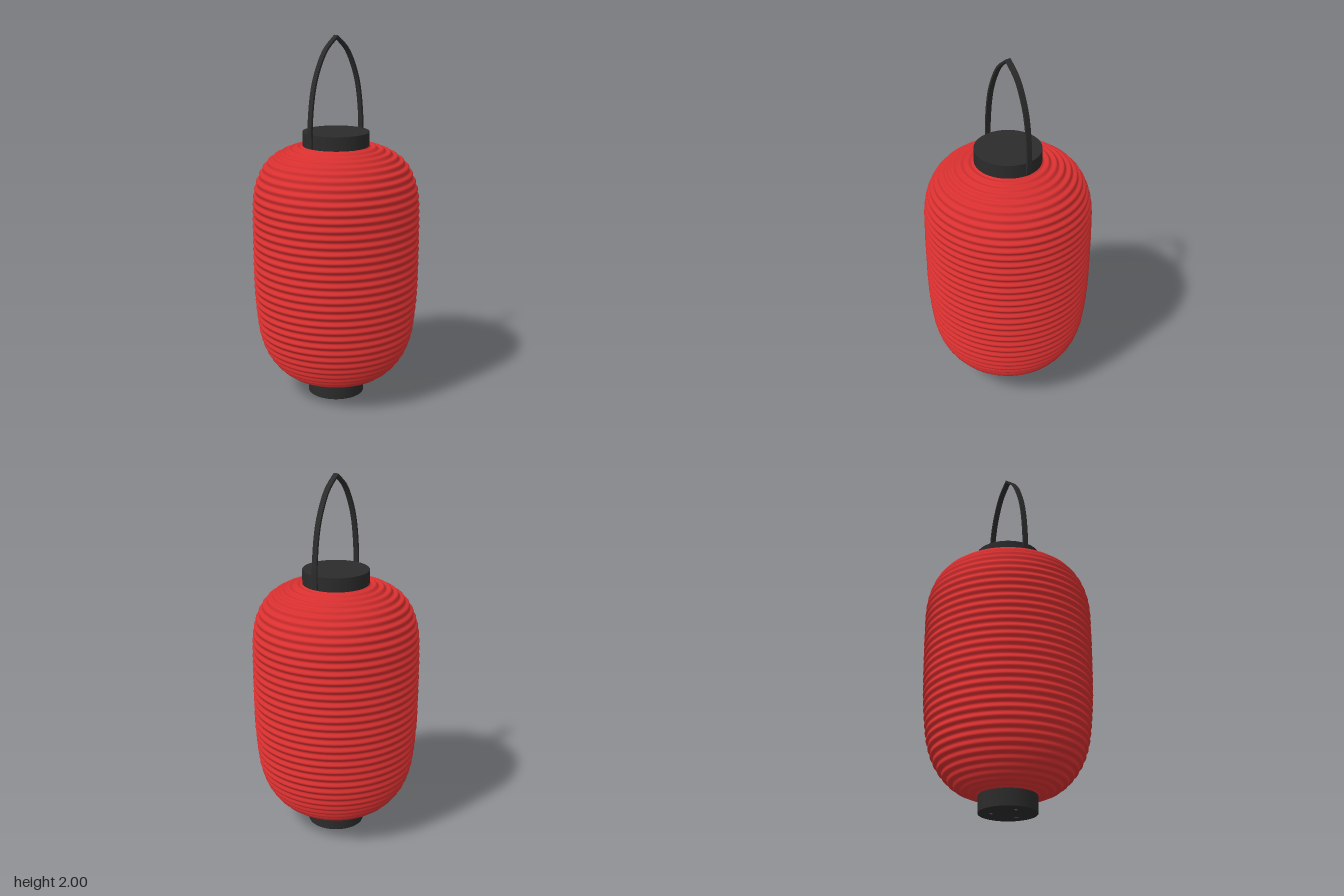
import * as THREE from 'three';

const red = new THREE.MeshStandardMaterial({ color: 0xd93030 });
red.name = 'red paper';
const black = new THREE.MeshStandardMaterial({ color: 0x2b2b2b });
black.name = 'black lacquer';
const grey = new THREE.MeshStandardMaterial({ color: 0x5c5c5c });
grey.name = 'grey metal';

const vectors = (list) => list.map(([x, y]) => new THREE.Vector2(x, y));

function part(name, geometry, material, y = 0) {
  const mesh = new THREE.Mesh(geometry, material);
  mesh.name = name;
  mesh.position.y = y;
  return mesh;
}

// Paper body: a smooth barrel profile rippled along its length by the hoops
function bodyGeometry() {
  const outline = new THREE.SplineCurve(vectors([
    [0.15, 0.095], [0.25, 0.12], [0.325, 0.175], [0.38, 0.25], [0.412, 0.33],
    [0.43, 0.42], [0.446, 0.6], [0.45, 0.8], [0.45, 1.0], [0.444, 1.15],
    [0.415, 1.255], [0.365, 1.33], [0.29, 1.38], [0.21, 1.408], [0.17, 1.415],
  ]));
  const ribs = 38, steps = 8, count = ribs * steps;
  const points = [];
  for (let i = 0; i <= count; i++) {
    const u = i / count;
    const p = outline.getPointAt(u);
    const t = outline.getTangentAt(u);
    // rounded valleys with narrow crests
    const wave = Math.abs(Math.cos((Math.PI * i) / steps));
    const offset = 0.011 * wave * wave - 0.005;
    points.push(new THREE.Vector2(p.x + t.y * offset, p.y - t.x * offset));
  }
  return new THREE.LatheGeometry(points, 72);
}

// Carrying strap: a thin pointed arch, flat across x
function handleGeometry() {
  const half = new THREE.SplineCurve(vectors([
    [0.182, 1.42], [0.185, 1.53], [0.17, 1.68], [0.14, 1.8], [0.08, 1.92], [0, 1.993],
  ]));
  const path = half.getPoints(24);
  const side = (d) => path.map((p, i) => {
    const t = half.getTangent(i / 24);
    const x = i === 24 ? 0 : p.x + t.y * d;
    return new THREE.Vector2(x, i === 24 ? p.y + d * 1.3 : p.y - t.x * d);
  });
  const arch = (d) => {
    const right = side(d);
    const left = right.slice(0, -1).reverse().map((p) => new THREE.Vector2(-p.x, p.y));
    return [...right, ...left];
  };
  const shape = new THREE.Shape([...arch(0.0055), ...arch(-0.0055).reverse()]);
  const geometry = new THREE.ExtrudeGeometry(shape, { depth: 0.03, bevelEnabled: false });
  return geometry.rotateY(-Math.PI / 2).translate(0.015, 0, 0);
}

export function createModel() {
  const lantern = new THREE.Group();
  lantern.name = 'paperLantern';

  lantern.add(part('paperBody', bodyGeometry(), red));
  lantern.add(part('topCap', new THREE.CylinderGeometry(0.18, 0.18, 0.09, 64), black, 1.446));
  lantern.add(part('bottomCap', new THREE.CylinderGeometry(0.155, 0.155, 0.1, 64), black, 0.051));
  lantern.add(part('handle', handleGeometry(), black));

  // Three small studs under the base
  for (let i = 0; i < 3; i++) {
    const angle = THREE.MathUtils.degToRad(212 + i * 120);
    const stud = part('baseStud', new THREE.CylinderGeometry(0.01, 0.01, 0.003, 12), grey, 0.0015);
    stud.position.x = 0.085 * Math.cos(angle);
    stud.position.z = 0.085 * Math.sin(angle);
    lantern.add(stud);
  }
  return lantern;
}
